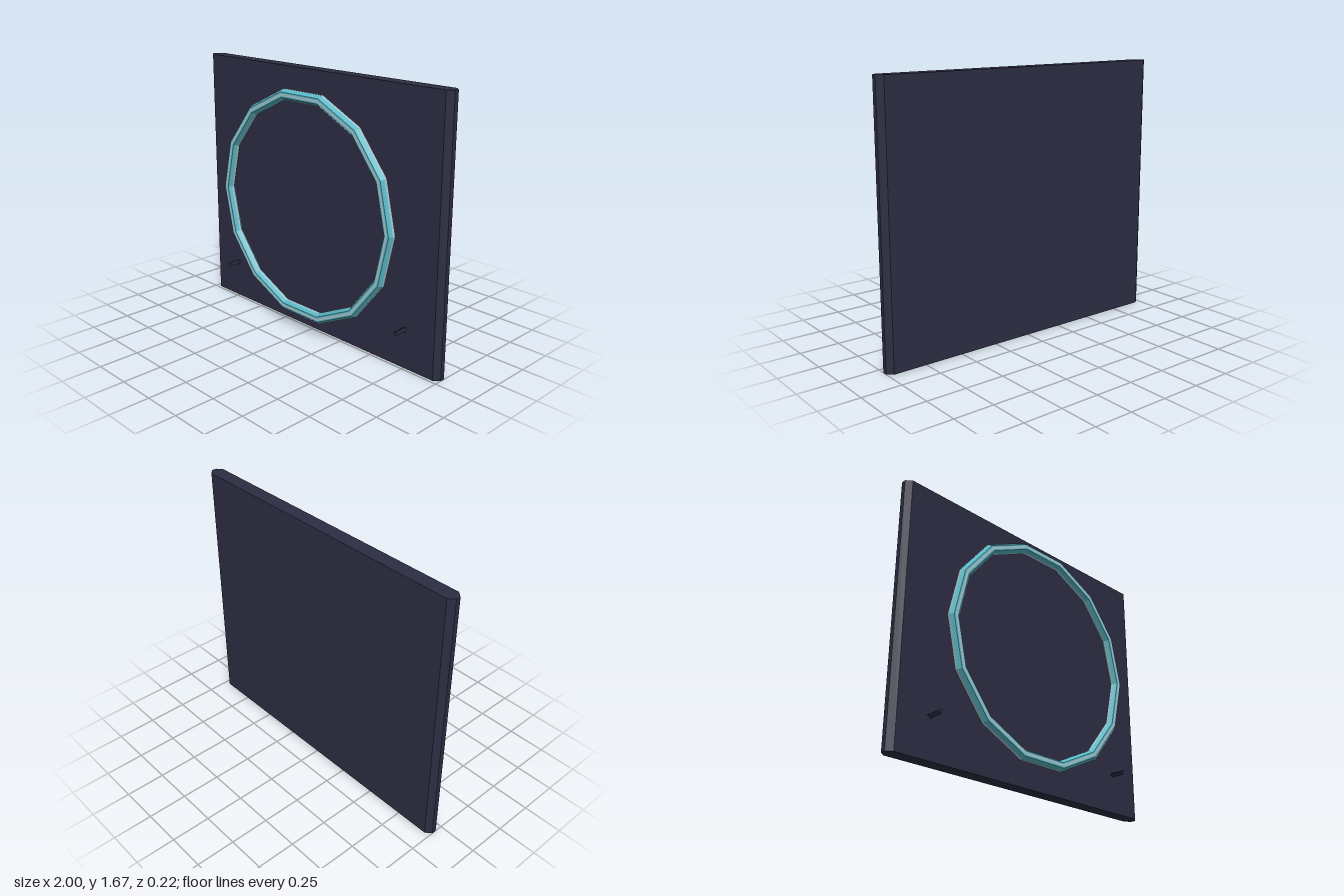
import * as THREE from 'three';

const SIDES = 14;      // straight segments around the ring
const RADIUS = 0.70;   // centre line of the ring
const TUBE = 0.033;    // radius of its six-sided section

export function createModel() {
  const model = new THREE.Group();
  const navy = new THREE.MeshStandardMaterial({ color: 0x2d2d44, flatShading: true });
  navy.name = 'dark navy';
  const teal = new THREE.MeshStandardMaterial({ color: 0x58b8c6, flatShading: true });
  teal.name = 'teal';
  const pale = new THREE.MeshStandardMaterial({ color: 0xa4c8d2, flatShading: true, side: THREE.DoubleSide });
  pale.name = 'pale blue';

  const add = (parent, name, geometry, material) => {
    const mesh = new THREE.Mesh(geometry, material);
    mesh.name = name;
    parent.add(mesh);
    return mesh;
  };

  // Back panel: chamfered plan extruded upwards
  const plan = new THREE.Shape([
    [-0.965, 0.018], [0.965, 0.018], [1, 0.048], [1, 0.078],
    [0.965, 0.108], [-0.965, 0.108], [-1, 0.078], [-1, 0.048],
  ].map(([x, y]) => new THREE.Vector2(x, y)));
  const panel = new THREE.ExtrudeGeometry(plan, { depth: 1.667, bevelEnabled: false });
  panel.rotateX(-Math.PI / 2);
  add(model, 'backPanel', panel, navy);

  // Ring light: faceted tube with a narrow pale line on four sides
  const ring = new THREE.Group();
  ring.name = 'ringLight';
  ring.position.set(0, 0.833, 0.082);
  model.add(ring);
  add(ring, 'ringTube', new THREE.TorusGeometry(RADIUS, TUBE, 6, SIDES), teal);

  const face = TUBE * Math.sin(Math.PI / 3) + 0.001;
  for (const side of [1, -1]) {
    const line = add(ring, side > 0 ? 'frontGlowLine' : 'backGlowLine',
      new THREE.RingGeometry(RADIUS - 0.008, RADIUS + 0.008, SIDES), pale);
    line.position.z = side * face;
    if (side < 0) line.rotation.y = Math.PI;

    const r = RADIUS + side * (TUBE + 0.0005);
    const band = new THREE.CylinderGeometry(r, r, 0.02, SIDES, 1, true);
    band.rotateX(Math.PI / 2).rotateZ(Math.PI / 2);
    add(ring, side > 0 ? 'outerGlowLine' : 'innerGlowLine', band, pale);
  }

  // Two three-sided pegs standing out of the panel
  for (const x of [-0.75, 0.75]) {
    const peg = new THREE.CylinderGeometry(0.017, 0.017, 0.09, 3);
    peg.rotateX(Math.PI / 2).rotateZ(-Math.PI / 2);
    add(model, x > 0 ? 'leftPeg' : 'rightPeg', peg, navy).position.set(x, 0.252, 0.025);
  }
  return model;
}
